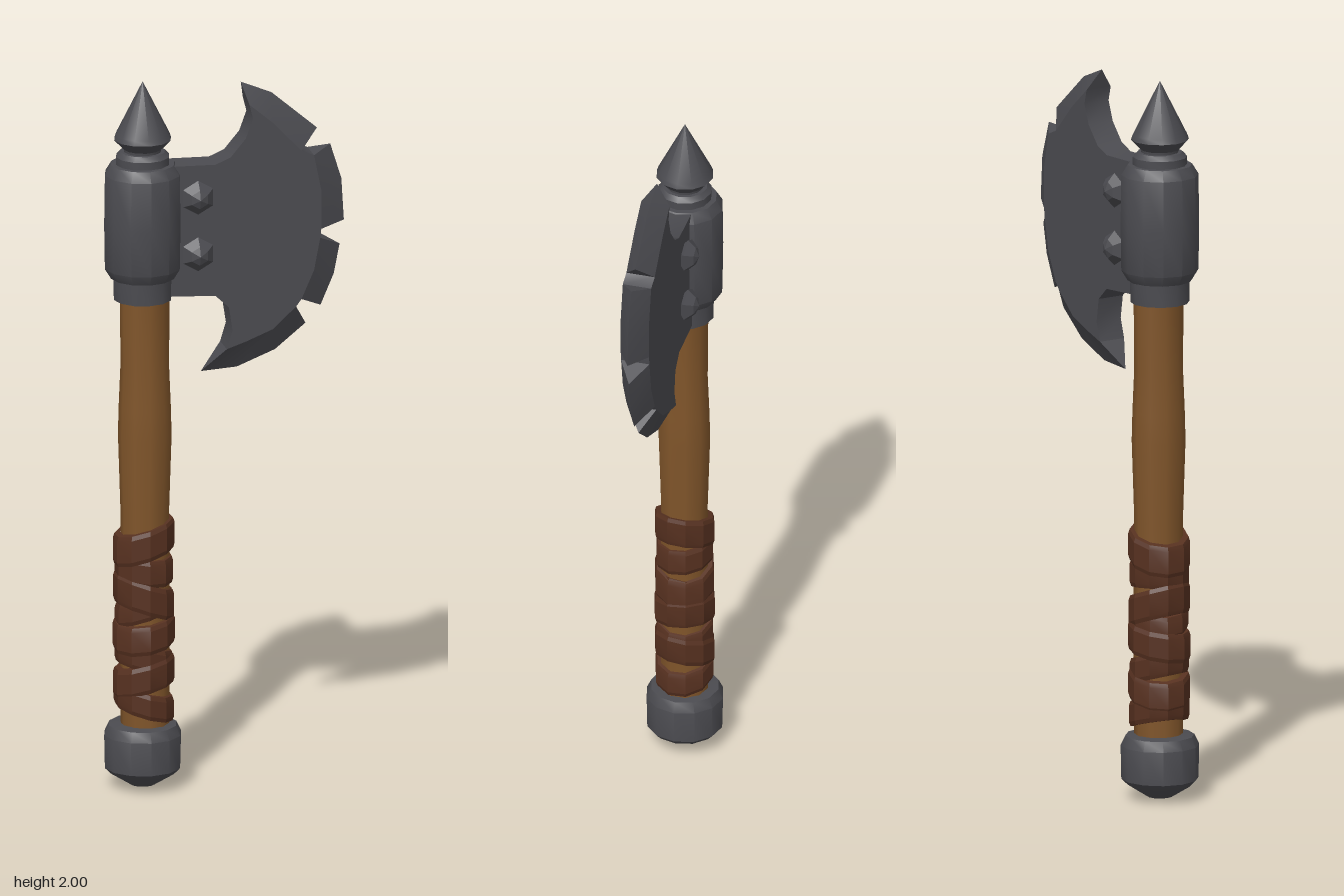
import * as THREE from 'three';
import { toCreasedNormals } from 'three/addons/utils/BufferGeometryUtils.js';

const AXIS = -0.228; // x of the shaft

const metal = new THREE.MeshStandardMaterial({ color: 0x4b4b50 });
metal.name = 'darkMetal';
const wood = new THREE.MeshStandardMaterial({ color: 0x80552a });
wood.name = 'wood';
const leather = new THREE.MeshStandardMaterial({ color: 0x573120 });
leather.name = 'leather';

const v2 = (p) => new THREE.Vector2(p[0], p[1]);

function add(parent, name, geometry, material, crease = 0.6) {
  const mesh = new THREE.Mesh(toCreasedNormals(geometry, crease), material);
  mesh.name = name;
  parent.add(mesh);
  return mesh;
}

// turned part; profile is [radius, y] from bottom to top
function turned(parent, name, profile, sides, material, crease) {
  const mesh = add(parent, name, new THREE.LatheGeometry(profile.map(v2), sides), material, crease);
  mesh.position.x = AXIS;
  return mesh;
}

// Cutting teeth: matching points on the plate rim (inner) and the sharp edge (outer), top to bottom
const TEETH = [
  { inner: [[0.06, 1.925], [0.125, 1.87], [0.205, 1.785]],
    outer: [[0.045, 1.98], [0.13, 1.945], [0.257, 1.836]] },
  { inner: [[0.24, 1.77], [0.26, 1.67], [0.26, 1.56]],
    outer: [[0.294, 1.788], [0.325, 1.688], [0.332, 1.57]] },
  { inner: [[0.257, 1.535], [0.24, 1.445], [0.205, 1.365]],
    outer: [[0.32, 1.503], [0.304, 1.42], [0.267, 1.333]] },
  { inner: [[0.19, 1.345], [0.125, 1.285], [0.05, 1.255], [-0.003, 1.237]],
    outer: [[0.225, 1.285], [0.14, 1.216], [0.034, 1.174], [-0.066, 1.168]] },
];
const HALF = 0.04; // half thickness of the blade

// wedge from the full plate thickness down to the sharp edge
function toothGeometry({ inner, outer }) {
  const pos = [];
  const front = (i) => [...inner[i], HALF];
  const back = (i) => [...inner[i], -HALF];
  const edge = (i) => [...outer[i], 0];
  const tri = (...points) => points.forEach((p) => pos.push(...p));
  const last = inner.length - 1;
  for (let i = 0; i < last; i++) {
    tri(front(i), front(i + 1), edge(i + 1));
    tri(front(i), edge(i + 1), edge(i));
    tri(back(i), edge(i + 1), back(i + 1));
    tri(back(i), edge(i), edge(i + 1));
  }
  tri(front(0), edge(0), back(0));
  tri(front(last), back(last), edge(last));
  const g = new THREE.BufferGeometry();
  g.setAttribute('position', new THREE.Float32BufferAttribute(pos, 3));
  return g;
}

function buildBlade() {
  const blade = new THREE.Group();
  blade.name = 'blade';
  const outline = [
    [-0.2, 1.765], [-0.034, 1.762], [0.008, 1.78], [0.05, 1.83], [0.07, 1.885],
    ...TEETH.flatMap((t) => t.inner),
    [0.013, 1.29], [0.003, 1.355], [-0.034, 1.39], [-0.2, 1.4],
  ];
  const plate = new THREE.ExtrudeGeometry(new THREE.Shape(outline.map(v2)), {
    depth: HALF * 2, bevelEnabled: false,
  });
  plate.translate(0, 0, -HALF);
  add(blade, 'bladePlate', plate, metal);
  TEETH.forEach((t) => add(blade, 'bladeTooth', toothGeometry(t), metal));

  // pointed studs on both faces
  const studProfile = [[0.034, 0], [0.048, 0.012], [0.026, 0.034], [0, 0.044]].map(v2);
  for (const y of [1.675, 1.515]) {
    for (const side of [1, -1]) {
      const stud = add(blade, 'stud', new THREE.LatheGeometry(studProfile, 6), metal, 0.2);
      stud.position.set(-0.085, y, side * (HALF - 0.002));
      stud.rotation.x = side * Math.PI / 2;
    }
  }
  return blade;
}

// leather strip: a ring sheared so that it slants around the grip
function wrapBand(parent, y, height, slantX, slantZ, radius) {
  const h = height / 2;
  const profile = [
    [0.064, -h], [radius - 0.004, -h], [radius, -h + 0.012], [radius, h - 0.012],
    [radius - 0.004, h], [0.064, h],
  ];
  const g = new THREE.LatheGeometry(profile.map(v2), 10);
  const p = g.attributes.position;
  for (let i = 0; i < p.count; i++) {
    p.setY(i, p.getY(i) + p.getX(i) * slantX + p.getZ(i) * slantZ);
  }
  add(parent, 'wrapBand', g, leather, 0.3).position.set(AXIS + 0.003, y, 0);
}

export function createModel() {
  const axe = new THREE.Group();
  axe.name = 'battleAxe';

  // wooden shaft, slightly uneven
  turned(axe, 'shaft', [
    [0.066, 0.15], [0.068, 0.5], [0.066, 0.78], [0.073, 1.0], [0.071, 1.08], [0.066, 1.2], [0.068, 1.42],
  ], 10, wood, 0.66).position.x = -0.222;

  // pommel
  turned(axe, 'pommel', [
    [0, 0.005], [0.035, 0.012], [0.088, 0.045], [0.105, 0.062], [0.107, 0.155], [0.094, 0.182], [0.06, 0.186],
  ], 12, metal);

  // slanted leather grip
  const grip = new THREE.Group();
  grip.name = 'gripWrap';
  [
    [0.7, 0.085, 0.3, 0.05, 0.084],
    [0.63, 0.075, -0.1, -0.1, 0.08],
    [0.545, 0.085, -0.35, 0.05, 0.083],
    [0.515, 0.06, 0.3, 0.1, 0.079],
    [0.445, 0.08, 0.15, -0.1, 0.085],
    [0.375, 0.07, -0.3, 0.05, 0.08],
    [0.32, 0.08, 0.25, 0.1, 0.084],
    [0.25, 0.07, -0.3, -0.05, 0.082],
  ].forEach((band) => wrapBand(grip, ...band));
  axe.add(grip);

  // head: collar, sleeve and neck ring
  turned(axe, 'lowerCollar', [[0.06, 1.386], [0.08, 1.386], [0.082, 1.47]], 12, metal);
  turned(axe, 'headSleeve', [
    [0.07, 1.445], [0.088, 1.447], [0.105, 1.475], [0.107, 1.6], [0.105, 1.74], [0.088, 1.768], [0.03, 1.77],
  ], 12, metal);
  turned(axe, 'neckRing', [[0.074, 1.765], [0.074, 1.79], [0.062, 1.803], [0, 1.803]], 12, metal);

  // top spike
  turned(axe, 'topSpike', [[0.05, 1.795], [0.052, 1.81], [0.079, 1.838], [0.074, 1.852], [0, 2]], 12, metal);

  axe.add(buildBlade());
  return axe;
}
